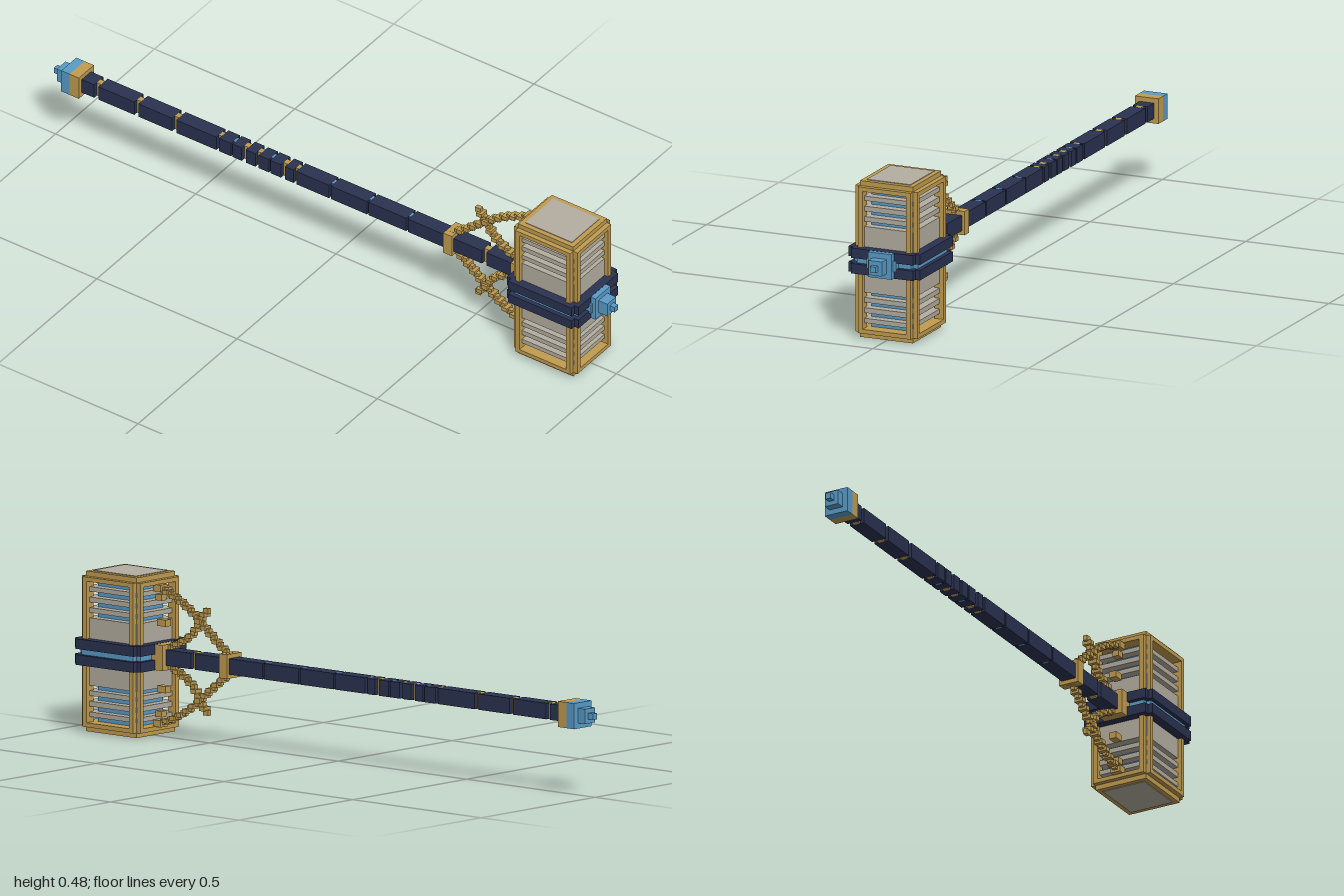
import * as THREE from 'three';

const mat = (name, color) => Object.assign(new THREE.MeshStandardMaterial({ color }), { name });

export function createModel() {
  const root = new THREE.Group();
  root.name = 'warHammer';
  const gold = mat('gold', 0xc09c50);
  const stone = mat('stone', 0xb4aea0);
  const blue = mat('glowBlue', 0x5a9cc8);
  const navy = mat('navyLeather', 0x2a3250);

  const CY = 0.2385, CZ = 0.808; // handle height, head centre
  let parent = root;

  const group = (name) => {
    parent = new THREE.Group();
    parent.name = name;
    root.add(parent);
    return parent;
  };
  // Box from its centre and half sizes
  const box = (name, m, x, y, z, hx, hy, hz) => {
    const mesh = new THREE.Mesh(new THREE.BoxGeometry(hx * 2, hy * 2, hz * 2), m);
    mesh.name = name;
    mesh.position.set(x, y, z);
    parent.add(mesh);
    return mesh;
  };
  // Box centred on the handle axis between two z values
  const along = (name, m, z0, z1, hx, hy = hx) =>
    box(name, m, 0, CY, (z0 + z1) / 2, hx, hy, Math.abs(z1 - z0) / 2);

  // Head: glowing core with stone slabs around it, leaving slots
  group('head');
  box('innerCore', blue, 0, CY, CZ, 0.06, 0.215, 0.073);
  for (const s of [-1, 1]) {
    const slots = [[0.1, 0.115], [0.13, 0.146], [0.1615, 0.178], [0.192, 0.2085]];
    let from = 0;
    for (const [a, b] of slots) {
      box('stoneSlat', stone, 0, CY + s * (from + a) / 2, CZ, 0.087, (a - from) / 2, 0.1);
      from = b;
    }
    // Stepped gold cap and its stone face
    const rimY = CY + s * 0.215;
    box('capRimFrontBack', gold, 0, rimY, CZ, 0.085, 0.0065, 0.113);
    box('capRimSides', gold, 0, rimY, CZ, 0.1, 0.0065, 0.098);
    box('cap', gold, 0, CY + s * 0.2225, CZ, 0.085, 0.014, 0.098);
    box('capPlate', stone, 0, CY + s * 0.2365, CZ, 0.07, 0.002, 0.083);
    // Stepped corner posts
    for (const t of [-1, 1]) {
      box('postOuter', gold, s * 0.085, CY, CZ + t * 0.0905, 0.015, 0.21, 0.0075);
      box('postInner', gold, s * 0.0775, CY, CZ + t * 0.098, 0.0075, 0.21, 0.015);
    }
  }

  // Belt: two navy bands per edge with a recessed glowing line between
  group('belt');
  for (const s of [-1, 1]) {
    const y = CY + s * 0.0235;
    box('bandSides', navy, 0, y, CZ, 0.115, 0.015, 0.113);
    box('bandFrontBack', navy, 0, y, CZ, 0.1, 0.015, 0.128);
  }
  box('glowLineSides', blue, 0, CY, CZ, 0.102, 0.0085, 0.1);
  box('glowLineFrontBack', blue, 0, CY, CZ, 0.087, 0.0085, 0.115);

  // Front gem, stepped to a point
  group('frontGem');
  along('gemWings', blue, 0.92, 0.942, 0.047, 0.016);
  along('gemBase', blue, 0.92, 0.952, 0.038);
  along('gemStep', blue, 0.95, 0.983, 0.022);
  along('gemTip', blue, 0.98, 1, 0.009);

  // Handle: navy segments parted by narrow slits over inlays
  group('handle');
  const slits = [ // z, width, material
    [0.545, 0.016, gold], [0.27, 0.006, blue], [0.13, 0.006, blue], [-0.005, 0.006, blue],
    [-0.13, 0.01, gold], [-0.172, 0.015, gold], [-0.22, 0.006, blue], [-0.265, 0.012, gold],
    [-0.312, 0.015, gold], [-0.355, 0.006, blue], [-0.405, 0.01, gold], [-0.56, 0.015, gold],
    [-0.695, 0.015, gold], [-0.838, 0.015, gold],
  ];
  let zTop = 0.69;
  for (const [z, w, m] of slits) {
    along('gripSegment', navy, zTop, z + w / 2, 0.0235);
    along('gripInlay', m, z + w / 2, z - w / 2, 0.01, 0.0235);
    zTop = z - w / 2;
  }
  along('gripSegment', navy, zTop, -0.9, 0.0235);
  along('headCollar', gold, 0.7, 0.65, 0.038);
  along('chainRing', gold, 0.436, 0.405, 0.032, 0.036);

  // Pommel
  group('pommel');
  along('pommelBand', gold, -0.89, -0.923, 0.038);
  along('pommelBlock', blue, -0.923, -0.953, 0.038);
  along('pommelStep', blue, -0.953, -0.98, 0.022);
  along('pommelTip', blue, -0.98, -1, 0.009);

  // Chains: blocky links alternating flat and upright, mirrored below
  const chain = (points, s, count) => {
    const curve = new THREE.CatmullRomCurve3(points.map(([z, y]) => new THREE.Vector3(0, CY + s * y, z)));
    for (let i = 0; i <= count; i++) {
      const p = curve.getPointAt(i / count);
      const flat = i % 2 === 0;
      box('chainLink', gold, 0, p.y, p.z, flat ? 0.014 : 0.007, flat ? 0.0065 : 0.008, 0.0095);
    }
  };
  group('chains');
  for (const s of [-1, 1]) {
    chain([[0.69, 0.2], [0.62, 0.172], [0.56, 0.135], [0.51, 0.095], [0.46, 0.055], [0.425, 0.03]], s, 22);
    chain([[0.65, 0.03], [0.6, 0.052], [0.56, 0.082], [0.535, 0.12], [0.51, 0.15]], s, 13);
    box('chainStud', gold, 0, CY + s * 0.098, 0.678, 0.012, 0.01, 0.016);
    box('chainAnchor', gold, 0, CY + s * 0.172, 0.69, 0.01, 0.009, 0.012);
    box('chainAnchor', gold, 0, CY + s * 0.2, 0.692, 0.016, 0.01, 0.014);
  }
  return root;
}
